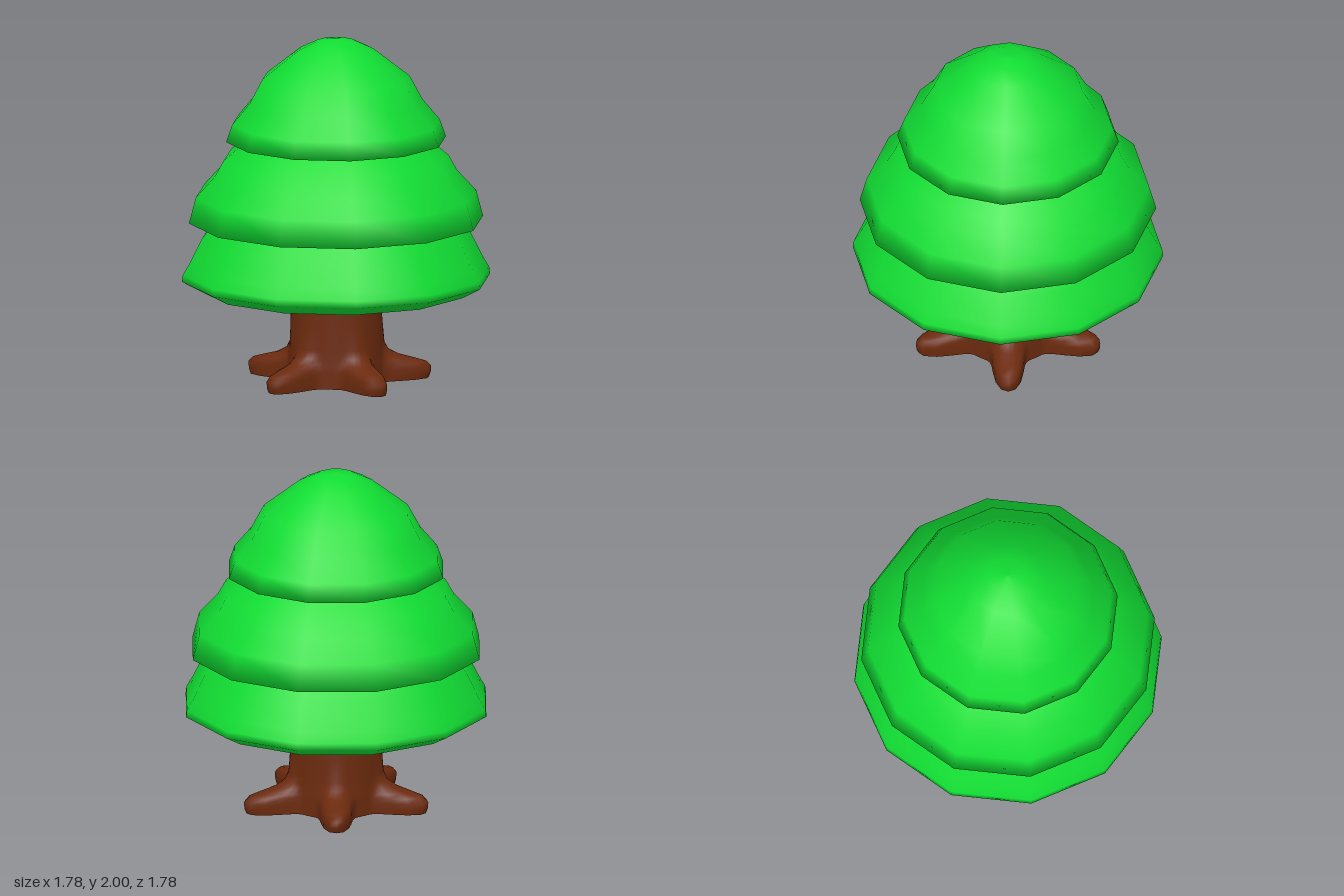
import * as THREE from 'three';

const leaf = new THREE.MeshStandardMaterial({ color: 0x11dd33, side: THREE.DoubleSide });
const bark = new THREE.MeshStandardMaterial({ color: 0x6b2a0e, side: THREE.DoubleSide });

// Foliage profiles as [radius, height], from the inside of the lip upwards
const TIERS = {
  lowerFoliage: [[0.78, 0.54], [0.89, 0.6], [0.885, 0.64], [0.85, 0.7], [0.78, 0.84], [0.71, 0.94], [0.62, 1.06]],
  middleFoliage: [[0.71, 0.98], [0.85, 0.94], [0.81, 1.09], [0.7, 1.21], [0.65, 1.3], [0.51, 1.42], [0.42, 1.5]],
  topFoliage: [[0.5, 1.45], [0.635, 1.41], [0.6, 1.51], [0.5, 1.63], [0.425, 1.77], [0.215, 1.935], [0.11, 1.985], [0, 2]],
};

// Trunk rings as [height, radius between roots, radius at root tips]
const RINGS = [
  [0, 0.27, 0.54], [0.03, 0.27, 0.552], [0.065, 0.27, 0.555], [0.095, 0.27, 0.525],
  [0.115, 0.27, 0.46], [0.14, 0.268, 0.37], [0.175, 0.266, 0.305], [0.22, 0.264, 0.28],
  [0.36, 0.26, 0.267], [0.54, 0.255, 0.258], [1.1, 0.25, 0.25],
];

// Round trunk whose lower rings swell into five rounded roots
function trunkGeometry(roots = 5, perRoot = 16) {
  const n = roots * perRoot;
  const start = THREE.MathUtils.degToRad(9);
  const positions = [];
  const index = [];
  RINGS.forEach(([y, body, tip], ring) => {
    for (let i = 0; i < n; i++) {
      const a = (i / n) * Math.PI * 2;
      const nearest = Math.round(i / perRoot) * perRoot / n * Math.PI * 2;
      const lobe = Math.exp(-Math.pow(Math.abs(a - nearest) / 0.24, 2.4));
      const r = body + (tip - body) * lobe;
      positions.push(r * Math.cos(a + start), y, r * Math.sin(a + start));
      if (ring < RINGS.length - 1) {
        const p = ring * n + i;
        const q = ring * n + (i + 1) % n;
        index.push(p, p + n, q, q, p + n, q + n);
      }
    }
  });
  const g = new THREE.BufferGeometry();
  g.setAttribute('position', new THREE.Float32BufferAttribute(positions, 3));
  g.setIndex(index);
  g.computeVertexNormals();
  return g;
}

export function createModel() {
  const tree = new THREE.Group();
  tree.name = 'tree';

  const trunk = new THREE.Mesh(trunkGeometry(), bark);
  trunk.name = 'trunkWithRoots';
  tree.add(trunk);

  // Twelve-sided foliage tiers
  for (const [name, profile] of Object.entries(TIERS)) {
    const points = profile.map(([r, y]) => new THREE.Vector2(r, y));
    const tier = new THREE.Mesh(new THREE.LatheGeometry(points, 12), leaf);
    tier.name = name;
    tree.add(tier);
  }
  return tree;
}
